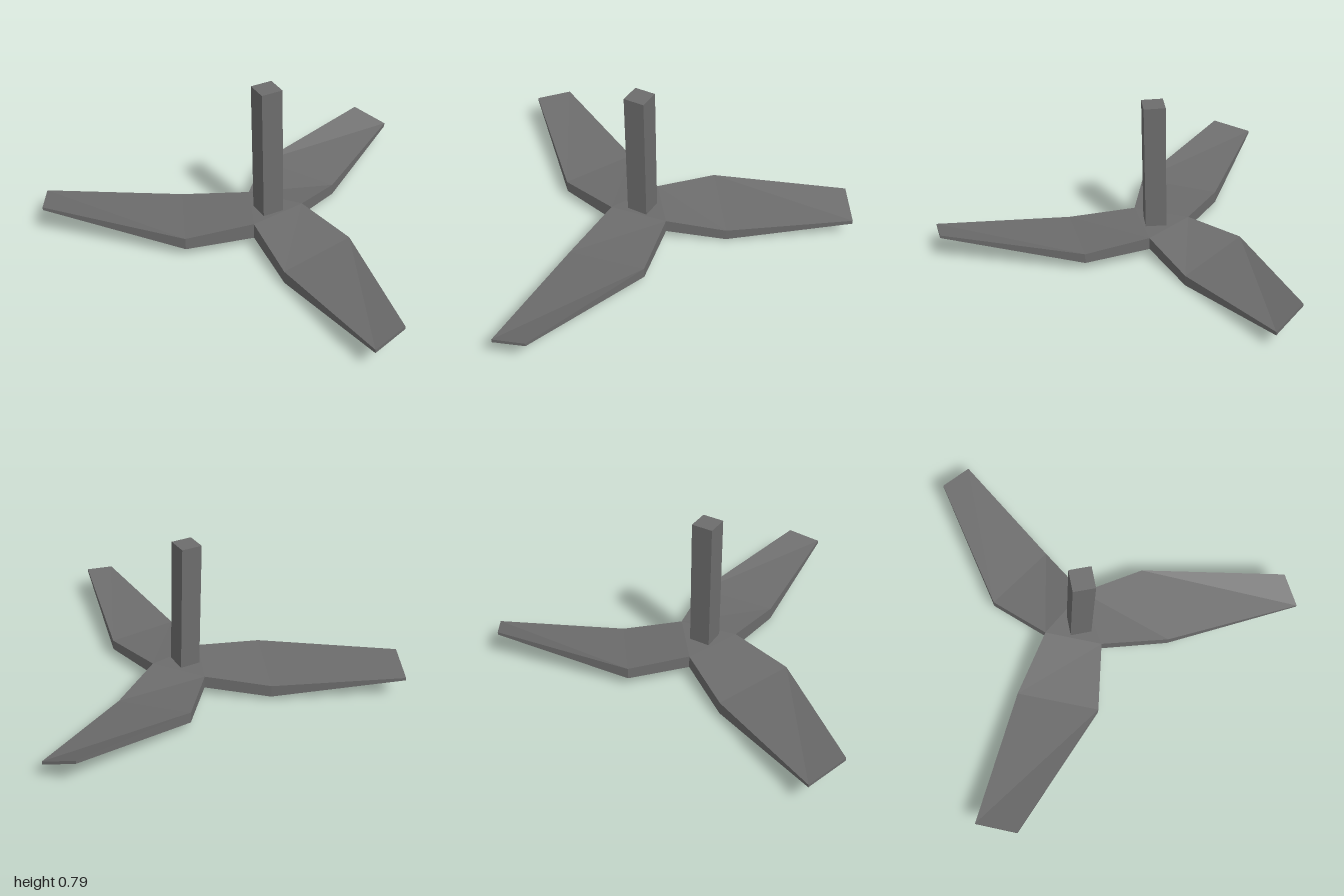
import * as THREE from 'three';

// Root corners shared by the hub and the blades: [x, z, top, bottom]
const P = [-0.165, 0.13, 0.115, 0.05];
const Q = [0.115, 0.07, 0.12, 0.055];
const R = [0.025, 0.35, 0.125, 0.045];

// Each blade: left/right edge points at the root, middle and tip
const BLADES = {
  backBlade: [
    [P, Q],
    [[-0.28, -0.16, 0.108, 0.05], [0.105, -0.23, 0.06, 0.004]],
    [[-0.125, -0.83, 0.168, 0.153], [0.052, -0.86, 0.105, 0.086]],
  ],
  leftBlade: [
    [Q, R],
    [[0.44, 0.155, 0.1, 0.048], [0.32, 0.525, 0.083, 0.02]],
    [[0.995, 0.625, 0.163, 0.148], [0.947, 0.785, 0.13, 0.113]],
  ],
  rightBlade: [
    [R, P],
    [[-0.19, 0.605, 0.105, 0.045], [-0.46, 0.295, 0.083, 0.02]],
    [[-0.865, 0.855, 0.167, 0.152], [-1, 0.695, 0.126, 0.112]],
  ],
};

const top = (p) => [p[0], p[2], p[1]];
const bottom = (p) => [p[0], p[3], p[1]];

function facesToGeometry(faces) {
  const pos = [];
  for (const f of faces) {
    for (let i = 1; i < f.length - 1; i++) pos.push(...f[0], ...f[i], ...f[i + 1]);
  }
  const g = new THREE.BufferGeometry();
  g.setAttribute('position', new THREE.Float32BufferAttribute(pos, 3));
  g.computeVertexNormals();
  return g;
}

function bladeGeometry(sections) {
  const loops = sections.map(([l, r]) => [top(l), top(r), bottom(r), bottom(l)]);
  const faces = [loops[loops.length - 1]]; // tip cap
  for (let s = 0; s < loops.length - 1; s++) {
    for (let i = 0; i < 4; i++) {
      const j = (i + 1) % 4;
      faces.push([loops[s][i], loops[s][j], loops[s + 1][j], loops[s + 1][i]]);
    }
  }
  return facesToGeometry(faces);
}

export function createModel() {
  const group = new THREE.Group();
  const metal = new THREE.MeshStandardMaterial({ color: 0x6c6c6c, flatShading: true });
  metal.name = 'dark grey metal';

  const add = (name, geometry) => {
    const mesh = new THREE.Mesh(geometry, metal);
    mesh.name = name;
    group.add(mesh);
    return mesh;
  };

  // Three pitched blades around a flat triangular hub
  for (const [name, sections] of Object.entries(BLADES)) add(name, bladeGeometry(sections));
  add('hub', facesToGeometry([[P, R, Q].map(top), [P, Q, R].map(bottom)]));

  // Square drop rod
  const rod = add('rod', new THREE.BoxGeometry(0.107, 0.685, 0.107));
  rod.position.set(0, 0.4425, 0.195);
  rod.rotation.y = -0.46;

  // Faceted cap under the hub
  const cap = add('cap', new THREE.SphereGeometry(0.053, 8, 3, 0, Math.PI * 2, Math.PI / 2, Math.PI / 2));
  cap.position.set(0, 0.053, 0.193);

  return group;
}
